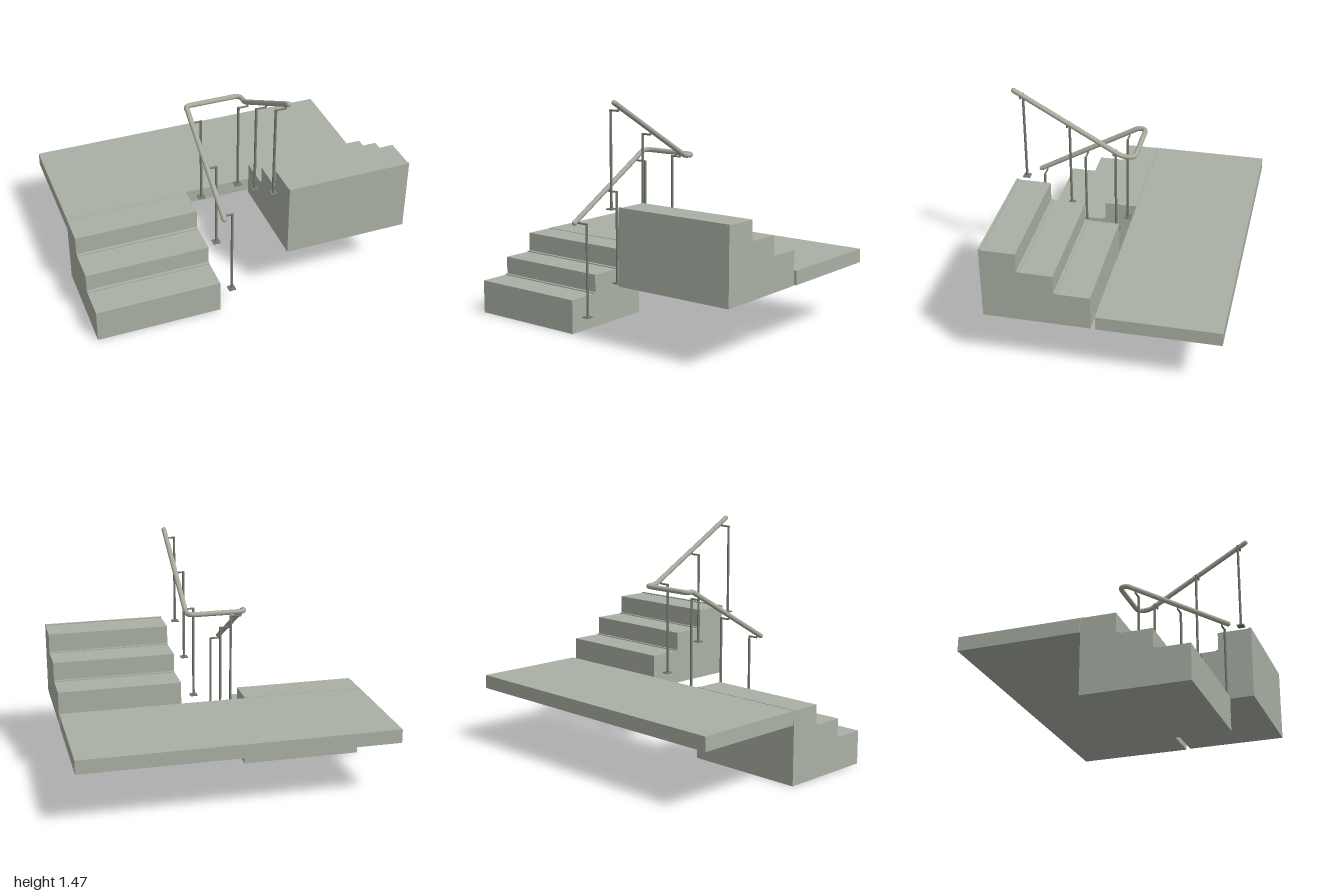
import * as THREE from 'three';

const V = (x, y, z) => new THREE.Vector3(x, y, z);

export function createModel() {
  const group = new THREE.Group();
  const concrete = new THREE.MeshStandardMaterial({ name: 'concrete', color: 0xa9b0a4 });
  const railPaint = new THREE.MeshStandardMaterial({ name: 'rail paint', color: 0xa8aa9c });
  const postPaint = new THREE.MeshStandardMaterial({ name: 'post paint', color: 0x737c6f });

  const add = (parent, name, geo, mat, x = 0, y = 0, z = 0) => {
    const m = new THREE.Mesh(geo, mat);
    m.name = name;
    m.position.set(x, y, z);
    parent.add(m);
    return m;
  };

  // Landing slab
  add(group, 'landing', new THREE.BoxGeometry(2, 0.088, 0.75), concrete, 0, 0.421, -0.348);

  // Stair flight: side profile given as [z, y], extruded along x
  const flight = (name, profile, xMax) => {
    const shape = new THREE.Shape(profile.map(([z, y]) => new THREE.Vector2(z, y)));
    const geo = new THREE.ExtrudeGeometry(shape, { depth: 0.79, bevelEnabled: false });
    geo.rotateY(-Math.PI / 2);
    add(group, name, geo, concrete, xMax, 0, 0);
  };

  // Each tread has a thin raised strip at the foot of the next riser
  flight('lowerFlight', [
    [0.03, 0], [0.665, 0], [0.665, 0.215],
    [0.472, 0.215], [0.472, 0.222], [0.453, 0.222], [0.453, 0.335],
    [0.26, 0.335], [0.26, 0.342], [0.24, 0.342], [0.24, 0.463],
    [0.05, 0.463], [0.05, 0.466], [0.03, 0.466],
  ], -0.21);
  flight('upperFlight', [
    [0.055, 0.38], [0.71, 0.38], [0.71, 0.852], [0.694, 0.852], [0.694, 0.846],
    [0.49, 0.846], [0.49, 0.727], [0.474, 0.727], [0.474, 0.721],
    [0.272, 0.721], [0.272, 0.604], [0.256, 0.604], [0.256, 0.598], [0.055, 0.598],
  ], 1);

  // Continuous handrail: up the lower flight, round the turn, up the upper flight
  const rail = new THREE.Group();
  rail.name = 'handrail';
  group.add(rail);
  const xl = -0.185, xr = 0.18, yt = 1.075, zb = -0.04, r = 0.016;
  const path = new THREE.CurvePath();
  const line = (a, b) => path.add(new THREE.LineCurve3(a, b));
  const bend = (a, c, b) => path.add(new THREE.QuadraticBezierCurve3(a, c, b));
  const start = V(xl, 0.702, 0.661), end = V(xr, 1.457, 0.705);
  const a1 = V(xl, 1.061, 0.035), a2 = V(xl, yt, 0);
  const a3 = V(xl + 0.045, yt, zb), b3 = V(xr - 0.045, yt, zb);
  const b2 = V(xr, yt, 0.005), b1 = V(xr, 1.089, 0.064);
  line(start, a1);
  bend(a1, V(xl, yt, 0.011), a2);
  bend(a2, V(xl, yt, zb), a3);
  line(a3, b3);
  bend(b3, V(xr, yt, zb), b2);
  bend(b2, V(xr, yt, 0.04), b1);
  line(b1, end);
  add(rail, 'railTube', new THREE.TubeGeometry(path, 180, r, 16, false), railPaint);
  for (const p of [start, end]) {
    add(rail, 'railEnd', new THREE.SphereGeometry(r, 16, 10), railPaint, p.x, p.y, p.z);
  }

  // Posts with a square foot plate, a side arm and a stub under the rail
  const post = (side, railX, z, base) => {
    const g = new THREE.Group();
    g.name = side < 0 ? 'lowerPost' : 'upperPost';
    g.position.set(side * 0.12, base, z);
    const h = 0.585, reach = railX - side * 0.12;
    add(g, 'footPlate', new THREE.BoxGeometry(0.045, 0.007, 0.045), postPaint);
    add(g, 'upright', new THREE.CylinderGeometry(0.008, 0.008, h, 12), postPaint, 0, h / 2, 0);
    const arm = add(g, 'arm', new THREE.CylinderGeometry(0.006, 0.006, Math.abs(reach), 10),
      postPaint, reach / 2, h - 0.004, 0);
    arm.rotation.z = Math.PI / 2;
    add(g, 'stub', new THREE.CylinderGeometry(0.006, 0.006, 0.022, 10), postPaint, reach, h + 0.003, 0);
    group.add(g);
  };
  [[0.068, 0.435], [0.345, 0.275], [0.623, 0.115]].forEach(([z, y]) => post(-1, xl, z, y));
  [[0.093, 0.495], [0.38, 0.66], [0.668, 0.826]].forEach(([z, y]) => post(1, xr, z, y));

  return group;
}
